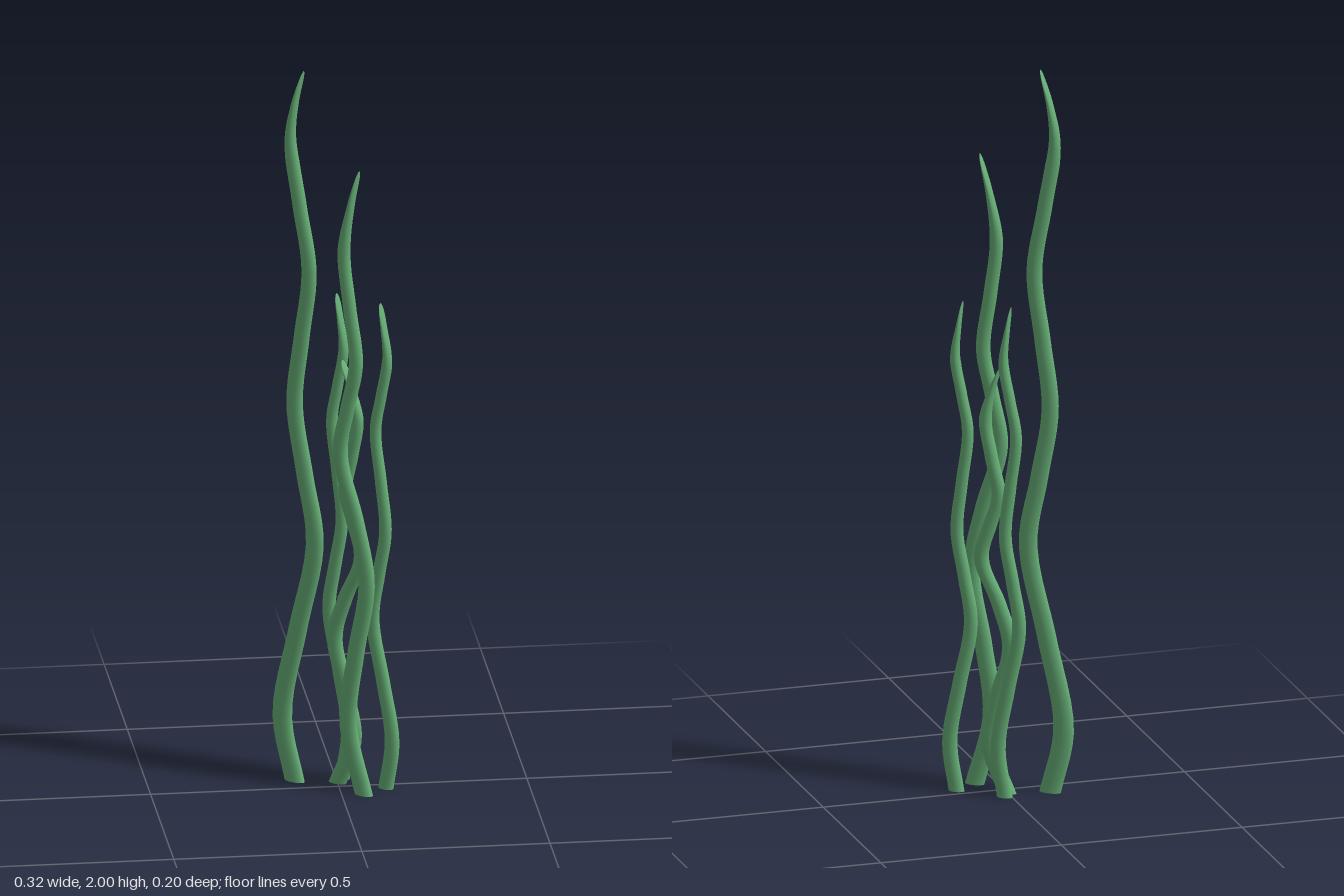
import * as THREE from 'three';

const SIDES = 16;
const RINGS = 72;

// Sway profiles: [fraction of height, offset along the sway direction (x part)]
const WIDE = [[0, 0.021], [0.11, -0.017], [0.225, 0.002], [0.34, 0.028], [0.44, 0.002], [0.54, -0.036],
  [0.62, -0.017], [0.69, 0.002], [0.78, -0.014], [0.865, -0.027], [0.94, -0.011], [1, 0.010]];
const TALL = [[0, -0.012], [0.09, -0.042], [0.215, -0.004], [0.34, 0.037], [0.435, 0.012], [0.53, -0.012],
  [0.625, 0.005], [0.72, 0.023], [0.81, 0.0], [0.9, -0.022], [0.95, -0.012], [1, 0.010]];
const SLIM = [[0, 0.007], [0.1, 0.022], [0.22, 0.0], [0.345, -0.025], [0.44, -0.010], [0.53, 0.006],
  [0.63, -0.005], [0.735, -0.018], [0.81, -0.004], [0.885, 0.010], [0.95, 0.002], [1, -0.007]];

const SWAY = new THREE.Vector2(0.79, 0.613); // x,z direction all blades sway in
const SLOPE = SWAY.y / SWAY.x;

// Elliptical blade: narrows to an edge along the sway, keeps its breadth across it
function bladeGeometry({ x, z, height, profile, sign = 1, a, b }) {
  const curve = new THREE.CatmullRomCurve3(profile.map(([t, d]) =>
    new THREE.Vector3(x + sign * d, t * height, z + sign * d * SLOPE)));
  const pos = [];
  const index = [];
  const addRing = (c, ra, rb) => {
    for (let j = 0; j < SIDES; j++) {
      const ang = (j / SIDES) * Math.PI * 2;
      const u = Math.cos(ang) * ra;
      const v = Math.sin(ang) * rb;
      pos.push(c.x + u * SWAY.x - v * SWAY.y, c.y, c.z + u * SWAY.y + v * SWAY.x);
    }
  };

  for (let i = 0; i < RINGS; i++) {
    // rings crowd towards the tip
    const t = 1 - Math.pow(1 - i / RINGS, 1.25);
    const c = curve.getPoint(t);
    const h = Math.min(c.y / height, 1);
    const ra = a * (1 - 0.38 * h) * Math.pow(Math.min(1, (1 - h) / 0.13), 0.8);
    const round = Math.max(0, (h - 0.97) / 0.03);
    addRing(c, ra, b * Math.sqrt(Math.max(0, 1 - round * round)));
  }
  for (let i = 0; i < RINGS - 1; i++) {
    for (let j = 0; j < SIDES; j++) {
      const k = (j + 1) % SIDES;
      const p = i * SIDES + j, q = i * SIDES + k;
      index.push(p, p + SIDES, q, q, p + SIDES, q + SIDES);
    }
  }

  // tip
  const tip = pos.length / 3;
  const end = curve.getPoint(1);
  pos.push(end.x, end.y, end.z);
  const last = (RINGS - 1) * SIDES;
  for (let j = 0; j < SIDES; j++) index.push(last + j, tip, last + (j + 1) % SIDES);

  // flat base with its own vertices for a sharp rim
  const base = pos.length / 3;
  const start = curve.getPoint(0);
  addRing(start, a, b);
  const centre = pos.length / 3;
  pos.push(start.x, start.y, start.z);
  for (let j = 0; j < SIDES; j++) index.push(centre, base + j, base + (j + 1) % SIDES);

  const geo = new THREE.BufferGeometry();
  geo.setAttribute('position', new THREE.Float32BufferAttribute(pos, 3));
  geo.setIndex(index);
  geo.computeVertexNormals();
  return geo;
}

export function createModel() {
  const model = new THREE.Group();
  model.name = 'seaweed';
  const green = new THREE.MeshStandardMaterial({ color: 0x67b077 });
  green.name = 'seaweed green';

  const blades = {
    tallBlade: { x: -0.098, z: -0.048, height: 2, profile: TALL, a: 0.030, b: 0.0145 },
    frontBlade: { x: 0.037, z: 0.055, height: 1.75, profile: WIDE, a: 0.027, b: 0.0145 },
    middleBlade: { x: 0.022, z: -0.015, height: 1.19, profile: WIDE, sign: -1, a: 0.026, b: 0.0145 },
    leftBlade: { x: 0.115, z: 0.023, height: 1.36, profile: SLIM, a: 0.022, b: 0.0135 },
    backBlade: { x: 0.010, z: -0.067, height: 1.36, profile: SLIM, a: 0.022, b: 0.0135 },
  };
  for (const [name, spec] of Object.entries(blades)) {
    const mesh = new THREE.Mesh(bladeGeometry(spec), green);
    mesh.name = name;
    model.add(mesh);
  }
  return model;
}
